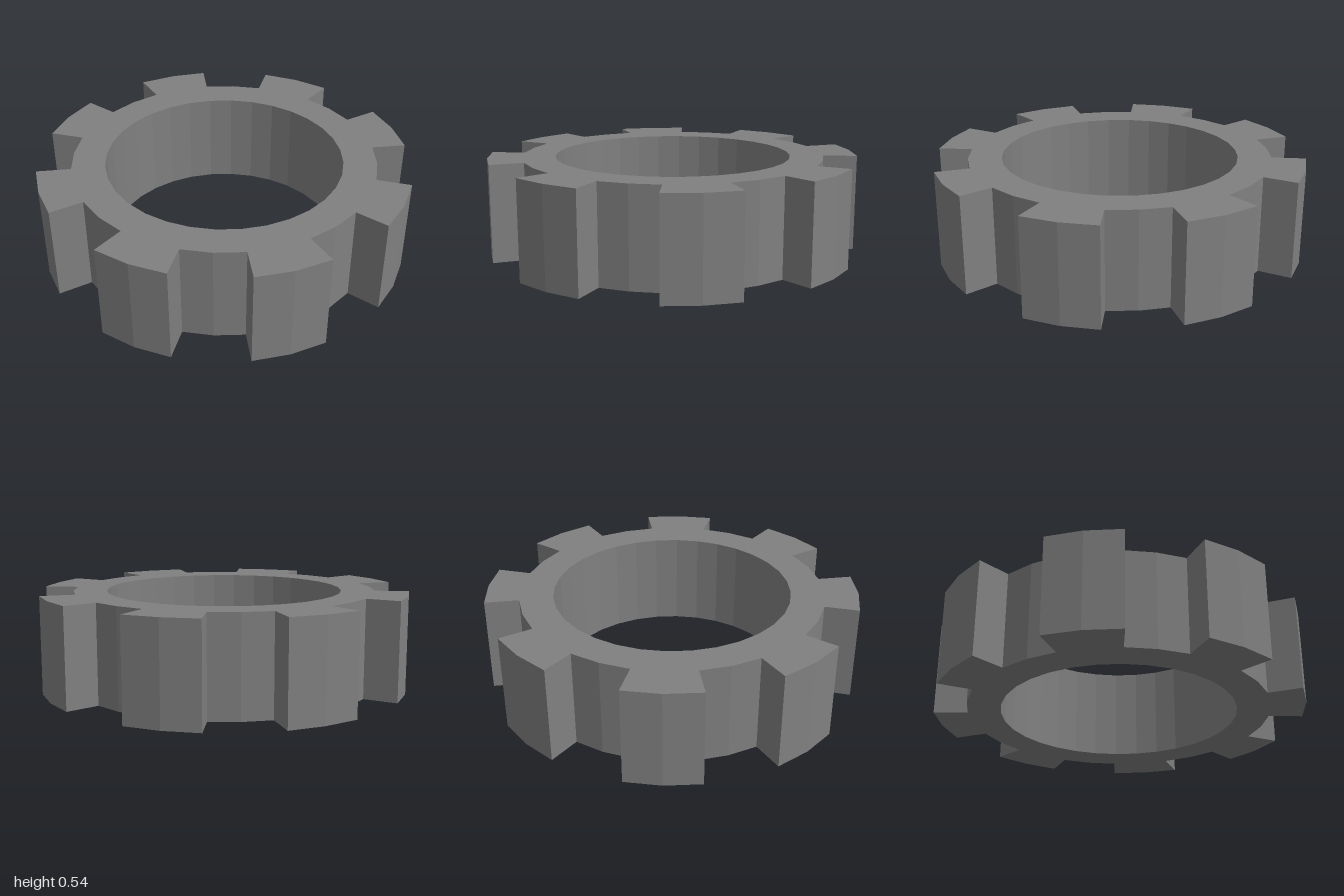
import * as THREE from 'three';

const HEIGHT = 0.535;
const STEPS = 32; // four steps per tooth-and-slot pair, eight pairs
const HOLE_RADIUS = 0.65;
const ROOT_RADIUS = 0.833;
const TIP_RADIUS = 1 / Math.cos(Math.PI / 16);

const polar = (radius, step) => {
  const a = (step / STEPS) * Math.PI * 2;
  return new THREE.Vector2(radius * Math.cos(a), radius * Math.sin(a));
};

export function createModel() {
  const model = new THREE.Group();
  model.name = 'toothedRing';

  const grey = new THREE.MeshStandardMaterial({ color: 0x808080, flatShading: true });
  grey.name = 'grey';

  // Outline: each slot is centred on a multiple of 45 degrees, each tooth follows it
  const outline = [];
  for (let i = 0; i < 8; i++) {
    const s = i * 4;
    outline.push(polar(ROOT_RADIUS, s - 1), polar(ROOT_RADIUS, s), polar(ROOT_RADIUS, s + 1));
    outline.push(polar(TIP_RADIUS, s + 1), polar(TIP_RADIUS, s + 2), polar(TIP_RADIUS, s + 3));
  }
  const shape = new THREE.Shape(outline);

  // Round bore through the middle
  const bore = [];
  for (let i = 0; i < STEPS; i++) bore.push(polar(HOLE_RADIUS, -i));
  shape.holes.push(new THREE.Path(bore));

  // Stand the extrusion upright on the ground
  const geometry = new THREE.ExtrudeGeometry(shape, { depth: HEIGHT, bevelEnabled: false });
  geometry.rotateX(-Math.PI / 2);

  const ring = new THREE.Mesh(geometry, grey);
  ring.name = 'gearRing';
  model.add(ring);
  return model;
}
